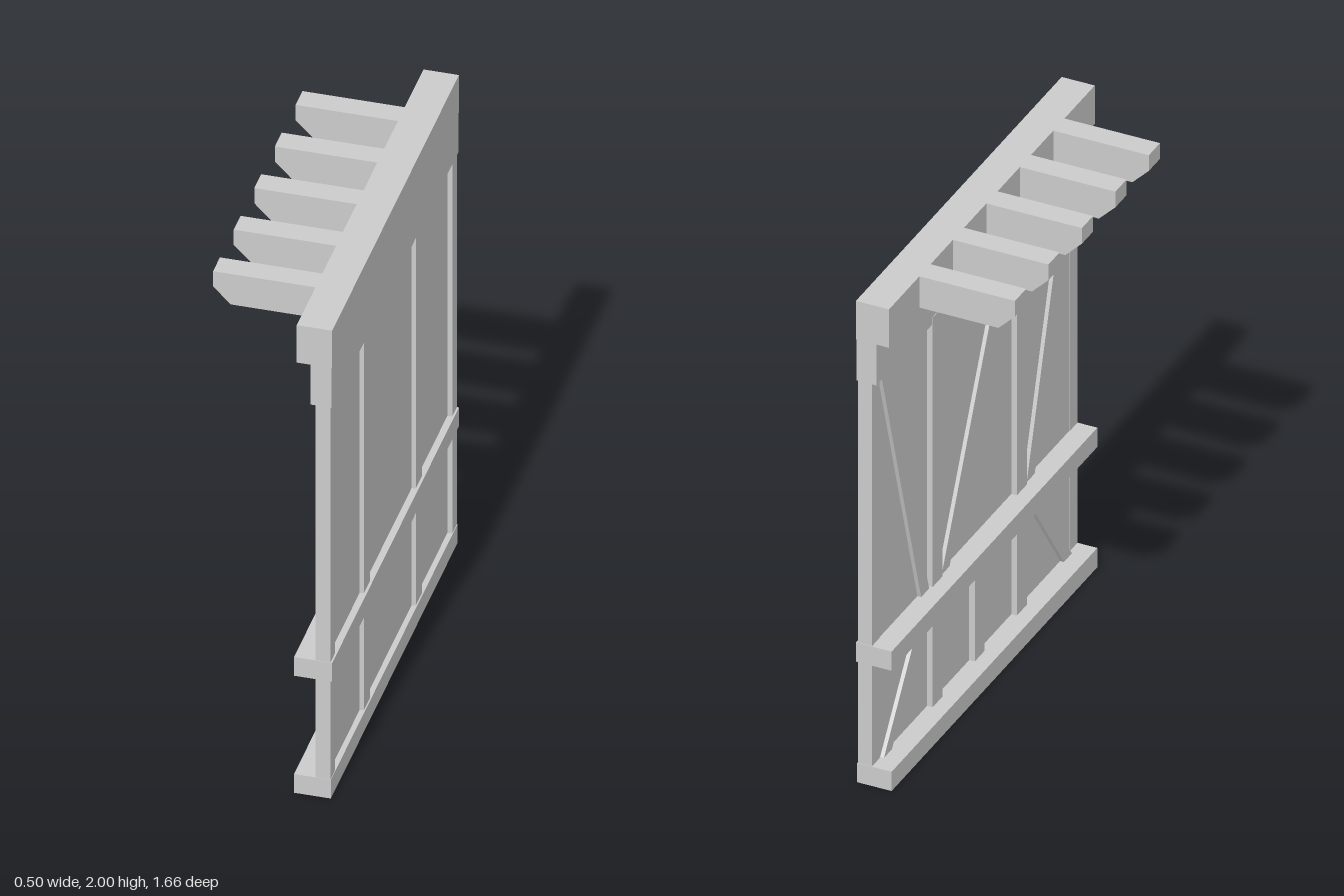
import * as THREE from 'three';

const mat = new THREE.MeshStandardMaterial({ color: 0xcccccc, flatShading: true });

export function createModel() {
  const wall = new THREE.Group();
  wall.name = 'timberWall';

  const add = (name, geometry) => {
    const mesh = new THREE.Mesh(geometry, mat);
    mesh.name = name;
    wall.add(mesh);
    return mesh;
  };

  // Box given by its limits on each axis
  const beam = (name, x0, x1, y0, y1, z0, z1) =>
    add(name, new THREE.BoxGeometry(x1 - x0, y1 - y0, z1 - z0))
      .position.set((x0 + x1) / 2, (y0 + y1) / 2, (z0 + z1) / 2);

  const extrude = (points, depth) => new THREE.ExtrudeGeometry(
    new THREE.Shape(points.map(([x, y]) => new THREE.Vector2(x, y))),
    { depth, bevelEnabled: false });

  // Slanted brace on the inner face, from (zA, yA) up to (zB, yB)
  const brace = (name, zA, yA, zB, yB) => {
    const h = 0.032;
    const g = extrude([[zA - h, yA], [zA + h, yA], [zB + h, yB], [zB - h, yB]], 0.03);
    g.rotateY(-Math.PI / 2).translate(0.205, 0, 0);
    add(name, g);
  };

  // Infill panel and horizontal timbers
  beam('panel', 0.19, 0.225, 0.04, 1.75, -0.80, 0.80);
  beam('bottomRail', 0.11, 0.245, 0, 0.08, -0.83, 0.83);
  beam('middleRail', 0.11, 0.25, 0.50, 0.58, -0.83, 0.83);
  beam('upperBeam', 0.17, 0.248, 1.67, 1.84, -0.83, 0.83);
  beam('topBeam', 0.12, 0.25, 1.84, 2, -0.83, 0.83);

  // Corner posts and studs on both sides
  for (const s of [-1, 1]) {
    const zp = s * 0.798, zs = s * 0.34;
    beam('cornerPost', 0.188, 0.243, 0.02, 1.70, zp - 0.03, zp + 0.03);
    beam('stud', 0.168, 0.24, 0.04, 1.70, zs - 0.04, zs + 0.04);
    brace('lowerBrace', s * 0.74, 0.06, s * 0.42, 0.52);
    brace('upperBrace', s * 0.42, 0.56, s * 0.75, 1.69);
  }
  beam('shortStud', 0.168, 0.205, 0.04, 0.54, -0.04, 0.04);
  brace('centreBrace', -0.27, 0.56, 0.26, 1.69);

  // Overhanging joists with chamfered ends
  for (let i = -2; i <= 2; i++) {
    const g = extrude([[0.245, 1.87], [0.245, 2], [-0.255, 2], [-0.255, 1.935], [-0.19, 1.87]].reverse(), 0.09);
    add('joist', g).position.z = i * 0.27 - 0.045;
  }

  return wall;
}
